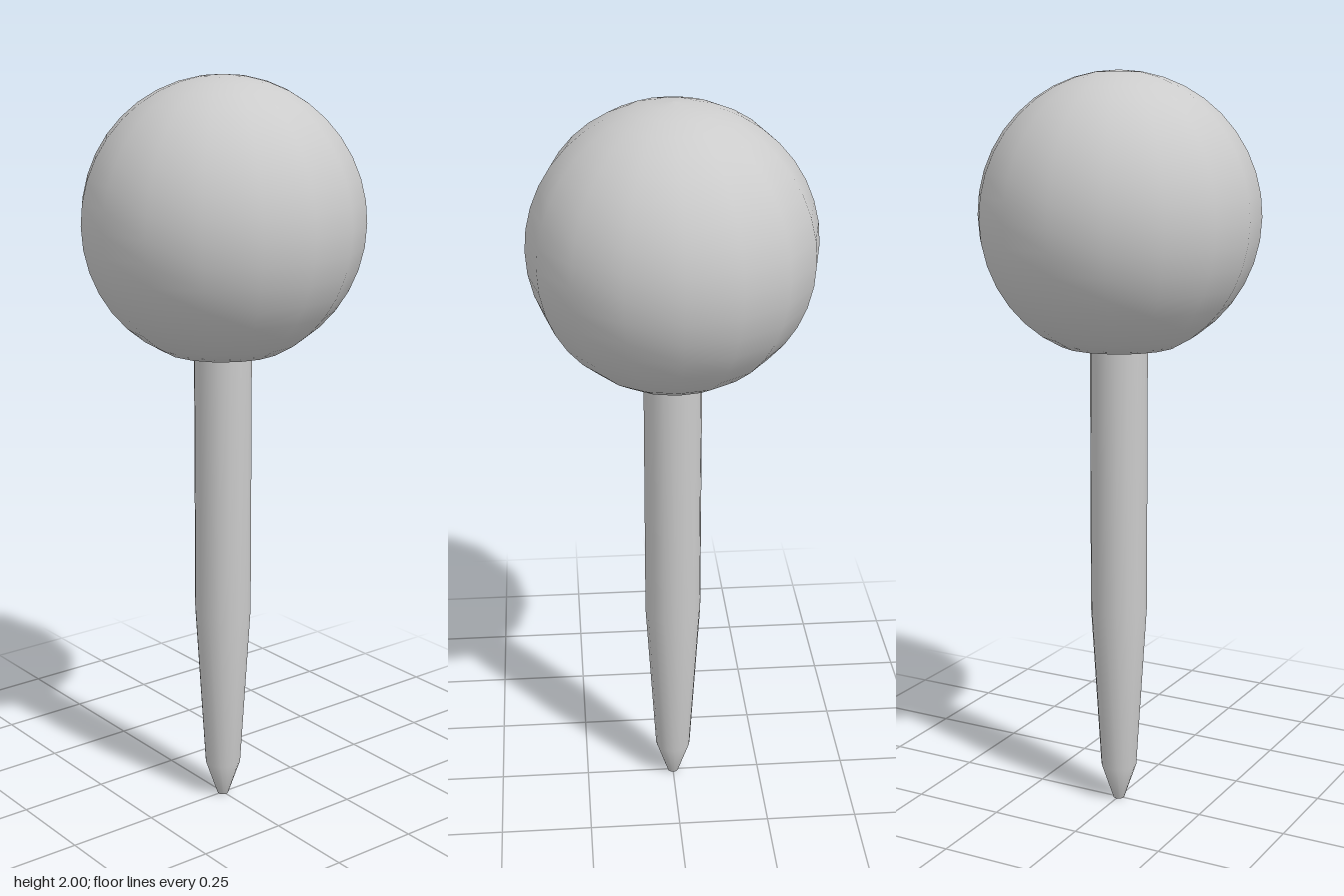
import * as THREE from 'three';

const SIDES = 16;

function lathe(name, points) {
  const mesh = new THREE.Mesh(
    new THREE.LatheGeometry(points, SIDES),
    new THREE.MeshStandardMaterial({ color: 0xcccccc })
  );
  mesh.name = name;
  return mesh;
}

export function createModel() {
  const group = new THREE.Group();
  group.name = 'ballHeadPin';

  // Ball head: a sphere cut flat underneath
  const radius = 0.372, centre = 2 - radius, cut = 1.29;
  const cutAngle = Math.asin((cut - centre) / radius);
  const head = [new THREE.Vector2(0, cut)];
  const addRing = (a) =>
    head.push(new THREE.Vector2(Math.max(0, radius * Math.cos(a)), centre + radius * Math.sin(a)));
  for (let i = 0; i < 7; i++) addRing(cutAngle * (1 - i / 7));
  for (let i = 0; i <= 10; i++) addRing((Math.PI / 2) * (i / 10));
  group.add(lathe('head', head));

  // Shaft: straight, then tapering to a small blunt tip
  const shaft = [
    [0, 0], [0.015, 0], [0.049, 0.1], [0.077, 0.56], [0.077, cut + 0.01],
  ].map(([r, y]) => new THREE.Vector2(r, y));
  group.add(lathe('shaft', shaft));

  return group;
}
